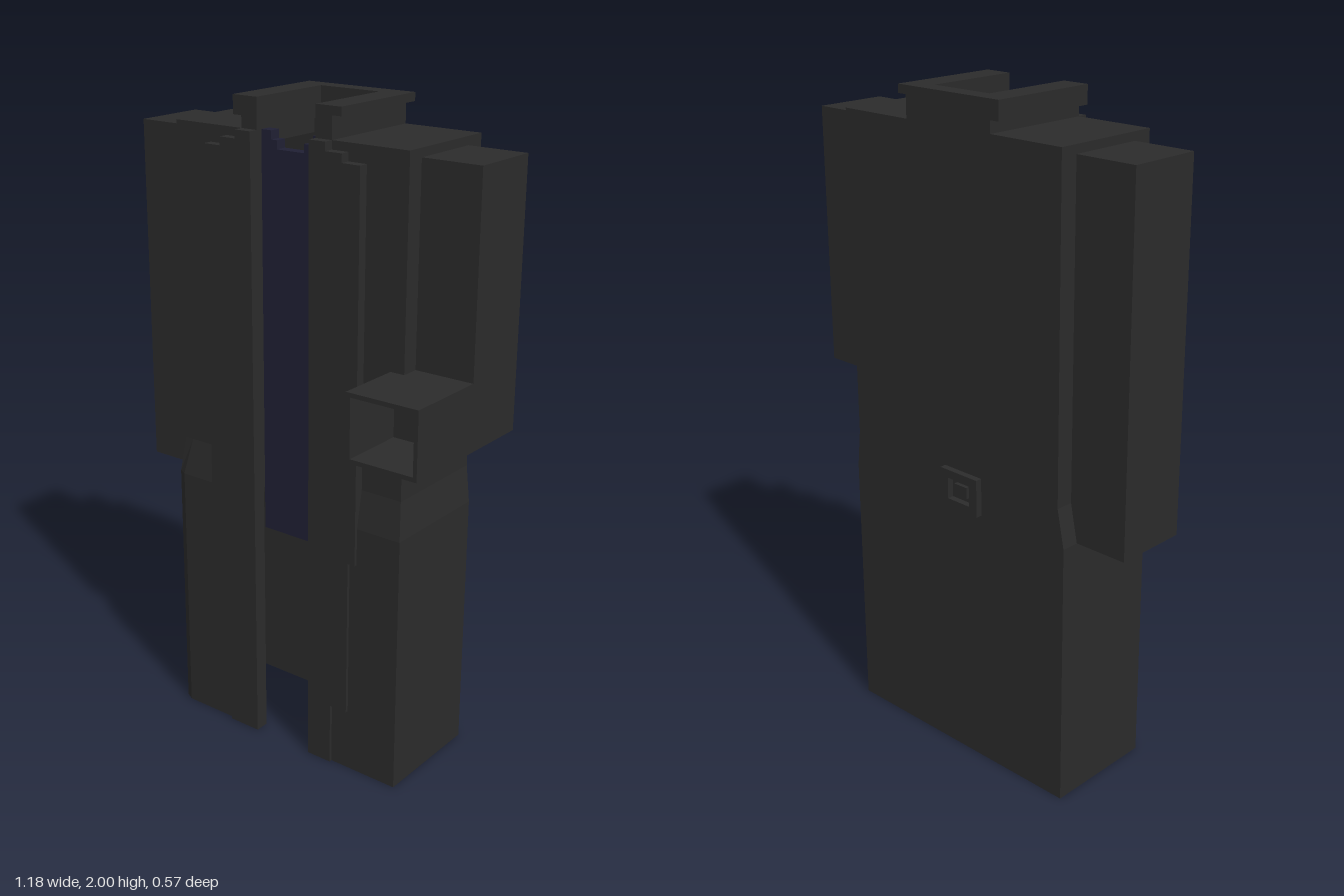
import * as THREE from 'three';

const cloth = new THREE.MeshStandardMaterial({ color: 0x2b2b2b });
cloth.name = 'charcoal cloth';
const shirt = new THREE.MeshStandardMaterial({ color: 0x202034 });
shirt.name = 'navy shirt';

const GAP_L = -0.105, GAP_R = 0.1, BACK = -0.265, WALL = 0.035;

function add(parent, name, geometry, material = cloth) {
  const mesh = new THREE.Mesh(geometry, material);
  mesh.name = name;
  parent.add(mesh);
  return mesh;
}

// Box given by its limits
function box(x0, x1, y0, y1, z0, z1) {
  return new THREE.BoxGeometry(x1 - x0, y1 - y0, z1 - z0)
    .translate((x0 + x1) / 2, (y0 + y1) / 2, (z0 + z1) / 2);
}

const toShape = (pts) => new THREE.Shape(pts.map(([x, y]) => new THREE.Vector2(x, y)));

const rect = (x0, x1, y0, y1) => [[x0, y0], [x1, y0], [x1, y1], [x0, y1]];

// Extrude an outline of (x, y) points from z0 to z1, with optional hole
function slabZ(pts, z0, z1, hole) {
  const shape = toShape(pts);
  if (hole) shape.holes.push(toShape(hole));
  return new THREE.ExtrudeGeometry(shape, { depth: z1 - z0, bevelEnabled: false }).translate(0, 0, z0);
}

// Extrude an outline of (x, z) points from y0 to y1, with optional hole
function slabY(pts, y0, y1, hole) {
  const flip = (list) => list.map(([x, z]) => [x, -z]);
  return slabZ(flip(pts), y0, y1, hole && flip(hole)).rotateX(-Math.PI / 2);
}

// Hollow coat body: a C-shaped section lofted through several heights
function coatBody() {
  const levels = [
    { y: 0, l: -0.428, r: 0.418, f: 0.1, c: 0.085 },
    { y: 0.815, l: -0.428, r: 0.418, f: 0.1, c: 0.085 },
    { y: 0.93, l: -0.405, r: 0.405, f: 0.08, c: 0.08 },
    { y: 1.91, l: -0.405, r: 0.405, f: 0.08, c: 0.08 },
  ];
  const rings = levels.map(({ y, l, r, f, c }) => [
    [GAP_R, f], [r, f], [r, BACK], [l, BACK], [l, c], [l + 0.028, f], [GAP_L, f],
    [GAP_L, f - WALL], [l + WALL, f - WALL], [l + WALL, BACK + WALL],
    [r - WALL, BACK + WALL], [r - WALL, f - WALL], [GAP_R, f - WALL],
  ].map(([x, z]) => [x, y, z]));
  const n = rings[0].length;
  const pos = [];
  const tri = (a, b, c) => pos.push(...a, ...b, ...c);
  for (let k = 0; k < rings.length - 1; k++) {
    for (let i = 0; i < n; i++) {
      const j = (i + 1) % n;
      const [a, b, c, d] = [rings[k][i], rings[k][j], rings[k + 1][j], rings[k + 1][i]];
      tri(a, b, c);
      tri(a, c, d);
    }
  }
  // End rims
  for (const [ring, up] of [[rings[0], false], [rings[rings.length - 1], true]]) {
    const flat = ring.map(([x, , z]) => new THREE.Vector2(x, -z));
    for (const [a, b, c] of THREE.ShapeUtils.triangulateShape(flat, [])) {
      const area = (flat[b].x - flat[a].x) * (flat[c].y - flat[a].y)
        - (flat[b].y - flat[a].y) * (flat[c].x - flat[a].x);
      if ((area > 0) === up) tri(ring[a], ring[b], ring[c]);
      else tri(ring[a], ring[c], ring[b]);
    }
  }
  const geometry = new THREE.BufferGeometry();
  geometry.setAttribute('position', new THREE.Float32BufferAttribute(pos, 3));
  geometry.computeVertexNormals();
  return geometry;
}

// U-shaped outline open to the front
function uShape(x0, x1, z0, z1, innerBack) {
  return [[x0, z0], [x1, z0], [x1, z1], [GAP_R, z1], [GAP_R, innerBack],
    [GAP_L, innerBack], [GAP_L, z1], [x0, z1]];
}

export function createModel() {
  const model = new THREE.Group();
  model.name = 'coat';

  add(model, 'coatBody', coatBody());

  // Shoulder top, closing the body around the neck opening
  add(model, 'shoulders', slabY(uShape(-0.37, 0.37, BACK + WALL, 0.045, -0.18), 1.87, 1.91));

  // Collar with folded edges
  const collar = new THREE.Group();
  collar.name = 'collar';
  model.add(collar);
  add(collar, 'collarBand', slabY(uShape(-0.16, 0.155, BACK, 0.08, -0.21), 1.91, 2));
  add(collar, 'rightCollarFold', box(-0.19, -0.16, 1.945, 2, BACK, 0.08));
  add(collar, 'leftCollarFold', box(0.155, 0.185, 1.975, 2, BACK, 0.08));

  // Stepped lapels running down the front opening
  add(model, 'rightLapel', slabZ([
    [GAP_L, 0], [GAP_L, 1.91], [-0.16, 1.91], [-0.16, 1.885], [-0.215, 1.885],
    [-0.215, 1.86], [-0.275, 1.86], [-0.275, 0.2], [-0.215, 0.2], [-0.215, 0],
  ], 0.08, 0.11));
  add(model, 'leftLapel', slabZ([
    [GAP_R, 0], [0.185, 0], [0.185, 0.2], [0.245, 0.2], [0.245, 0.7], [0.27, 0.7],
    [0.27, 1.86], [0.21, 1.86], [0.21, 1.885], [0.155, 1.885], [0.155, 1.91], [GAP_R, 1.91],
  ], 0.08, 0.11));

  // Shirt panel with a stepped neckline
  add(model, 'shirtFront', slabZ([
    [GAP_L, 0.7], [GAP_R, 0.7], [GAP_R, 1.91], [0.075, 1.91], [0.075, 1.885], [0.045, 1.885],
    [0.045, 1.86], [-0.05, 1.86], [-0.05, 1.885], [-0.07, 1.885], [-0.07, 1.91], [GAP_L, 1.91],
  ], 0.025, 0.06), shirt);

  // Straight sleeve, open at the cuff
  const rightSleeve = new THREE.Group();
  rightSleeve.name = 'rightSleeve';
  model.add(rightSleeve);
  add(rightSleeve, 'rightSleeveTube', slabY(rect(-0.595, -0.405, -0.21, 0.02), 0.815, 1.86,
    rect(-0.575, -0.425, -0.19, 0)));
  add(rightSleeve, 'rightSleeveTop', box(-0.595, -0.405, 1.86, 1.885, -0.21, 0.02));

  // Bent sleeve, with an open cuff facing forward
  const leftSleeve = new THREE.Group();
  leftSleeve.name = 'leftSleeve';
  model.add(leftSleeve);
  add(leftSleeve, 'leftUpperSleeve', box(0.405, 0.59, 1.105, 1.885, -0.2, 0.025));
  add(leftSleeve, 'leftElbow', box(0.405, 0.59, 1.105, 1.305, 0.025, 0.08));
  add(leftSleeve, 'leftForearm', slabZ(rect(0.36, 0.59, 1.105, 1.305), 0.08, 0.285,
    rect(0.375, 0.578, 1.118, 1.292)));

  // Framed buckle on the back
  const buckle = new THREE.Group();
  buckle.name = 'backBuckle';
  model.add(buckle);
  add(buckle, 'buckleFrame', slabZ(rect(-0.115, 0.03, 0.815, 0.93), -0.285, BACK,
    rect(-0.085, 0, 0.84, 0.905)));
  add(buckle, 'buckleCentre', box(-0.067, -0.018, 0.855, 0.89, -0.277, BACK));

  return model;
}
